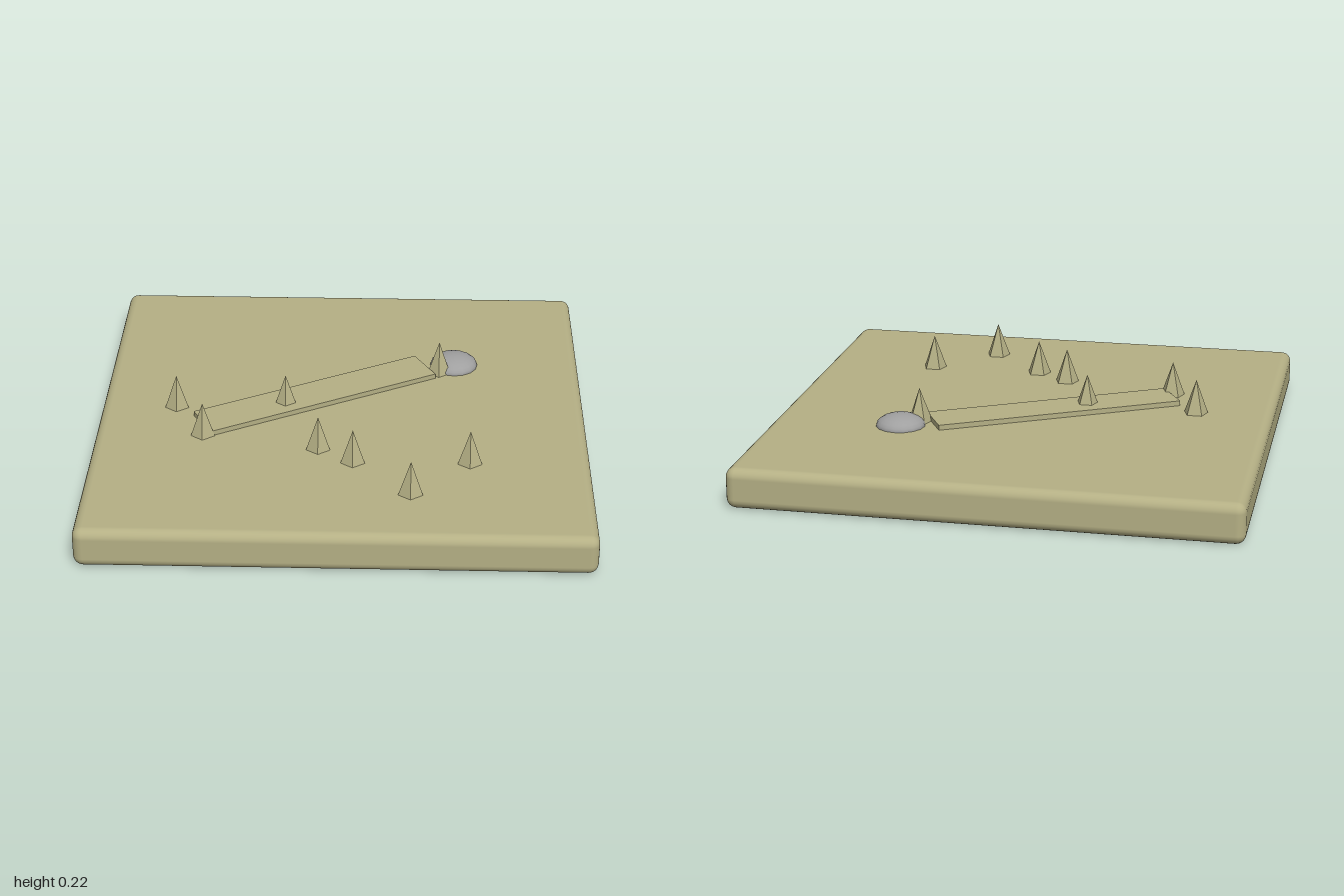
import * as THREE from 'three';
import { RoundedBoxGeometry } from 'three/addons/geometries/RoundedBoxGeometry.js';

const TOP = 0.117; // height of the ground surface

export function createModel() {
  const model = new THREE.Group();
  model.name = 'terrainTile';
  const sand = new THREE.MeshStandardMaterial({ name: 'dry grass', color: 0xb5b085 });
  const stone = new THREE.MeshStandardMaterial({ name: 'stone grey', color: 0xa0a0a0 });

  const add = (name, geometry, material, x, y, z, turn = 0) => {
    const mesh = new THREE.Mesh(geometry, material);
    mesh.name = name;
    mesh.position.set(x, y, z);
    mesh.rotation.y = turn;
    model.add(mesh);
    return mesh;
  };

  // Square slab with rounded edges, turned so its corners lie on the axes
  const r = 0.028;
  const side = 2 * ((1 - r) / Math.SQRT2 + r);
  add('groundSlab', new RoundedBoxGeometry(side, TOP, side, 3, r), sand, 0, TOP / 2, 0, Math.PI / 4);

  // Low raised path
  add('path', new THREE.BoxGeometry(0.13, 0.034, 0.744), sand, -0.086, 0.115, 0.027, -0.279);

  // Flattened boulder at the end of the path
  const boulder = new THREE.SphereGeometry(0.072, 16, 12);
  boulder.scale(1, 0.48, 1);
  add('boulder', boulder, stone, 0.057, TOP, -0.415, Math.PI / 4);

  // Five-sided grass tufts with flat faces
  const tuft = new THREE.ConeGeometry(0.037, 0.102, 5).toNonIndexed();
  tuft.computeVertexNormals();
  const spots = [
    [0.057, -0.35], [0.49, -0.035], [0.49, 0.203], [0.257, 0.203],
    [0.136, 0.225], [-0.11, 0.128], [-0.33, 0.364], [-0.152, 0.414],
  ];
  for (const [x, z] of spots) add('grassTuft', tuft, sand, x, TOP + 0.05, z, Math.PI / 4);

  return model;
}
